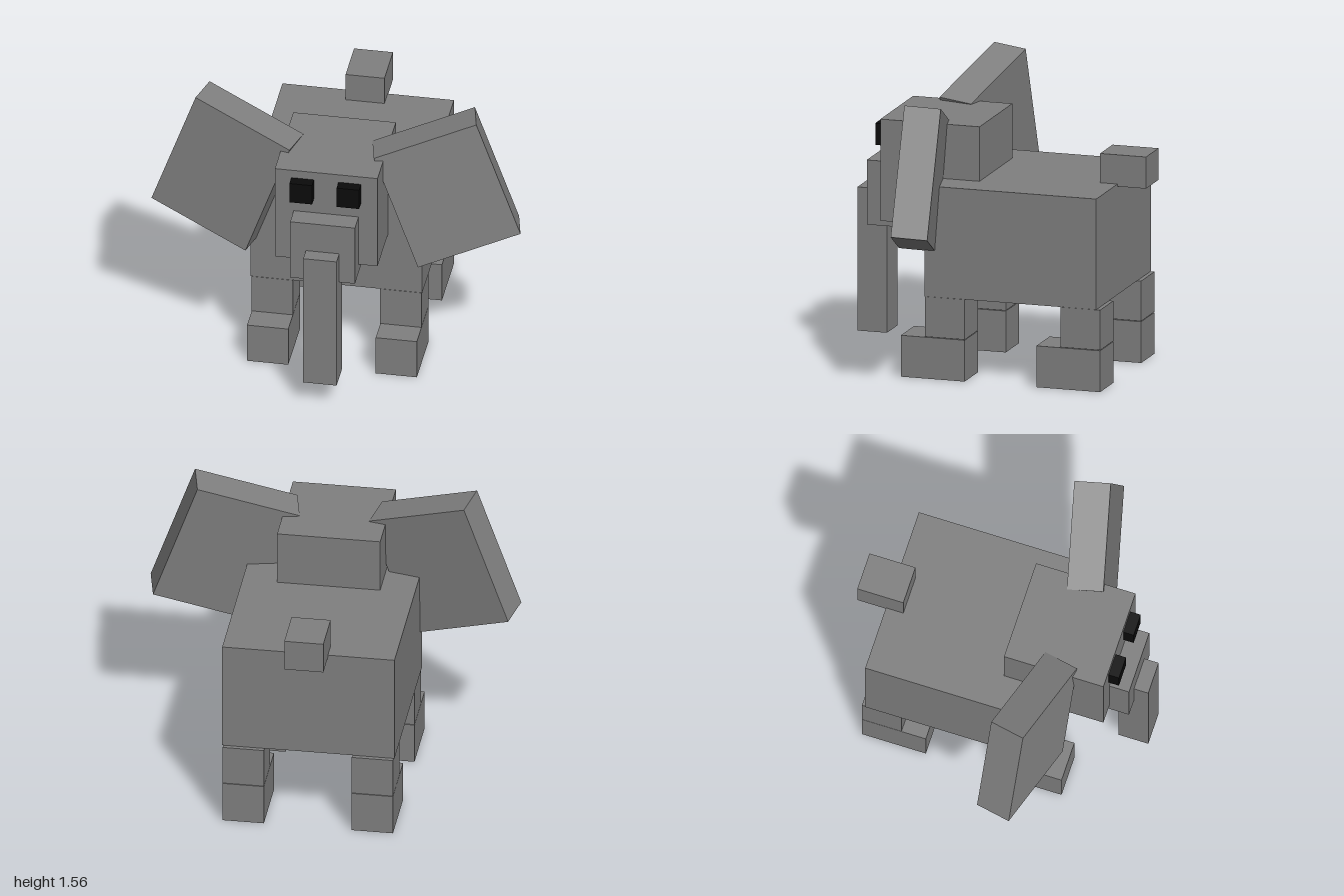
import * as THREE from 'three';

const grey = new THREE.MeshStandardMaterial({ name: 'greyHide', color: 0x808080 });
const black = new THREE.MeshStandardMaterial({ name: 'blackEye', color: 0x0b0b0b });

// Box given by its extents along each axis
function block(name, [x0, x1], [y0, y1], [z0, z1], material = grey) {
  const mesh = new THREE.Mesh(new THREE.BoxGeometry(x1 - x0, y1 - y0, z1 - z0), material);
  mesh.position.set((x0 + x1) / 2, (y0 + y1) / 2, (z0 + z1) / 2);
  mesh.name = name;
  return mesh;
}

// Tilted slab ear; side is +1 (left) or -1 (right)
function ear(name, side) {
  const mesh = new THREE.Mesh(new THREE.BoxGeometry(0.578, 0.707, 0.195), grey);
  const across = new THREE.Vector3(0.917, side * 0.329, side * -0.225).normalize();
  const up = new THREE.Vector3(side * -0.339, 0.941, 0.004).normalize();
  const out = new THREE.Vector3().crossVectors(across, up).normalize();
  up.crossVectors(out, across);
  mesh.quaternion.setFromRotationMatrix(new THREE.Matrix4().makeBasis(across, up, out));
  mesh.position.set(side * 0.591, 1.125, 0.295);
  mesh.name = name;
  return mesh;
}

export function createModel() {
  const model = new THREE.Group();
  model.name = 'elephant';

  // Body, head, trunk and tail
  model.add(
    block('body', [-0.463, 0.463], [0.45, 1.055], [-0.65, 0.31]),
    block('head', [-0.277, 0.277], [0.797, 1.353], [0.065, 0.62]),
    block('snout', [-0.175, 0.175], [0.745, 1.098], [0.485, 0.73]),
    block('trunk', [-0.09, 0.09], [0.14, 0.925], [0.645, 0.81]),
    block('tail', [-0.105, 0.105], [1.042, 1.215], [-0.81, -0.553]),
  );

  for (const side of [1, -1]) {
    const label = side > 0 ? 'left' : 'right';
    const span = (a, b) => (side > 0 ? [a, b] : [-b, -a]);

    model.add(block(label + 'Eye', span(0.066, 0.188), [1.187, 1.306], [0.56, 0.678], black));
    model.add(ear(label + 'Ear', side));

    // Legs with feet reaching forward
    for (const [end, z] of [['Front', 0.088], ['Back', -0.67]]) {
      const leg = new THREE.Group();
      leg.name = label + end + 'Leg';
      leg.add(
        block('shin', span(0.236, 0.458), [0.229, 0.448], [z, z + 0.221]),
        block('foot', span(0.236, 0.458), [0, 0.226], [z, z + 0.357]),
      );
      model.add(leg);
    }
  }
  return model;
}
